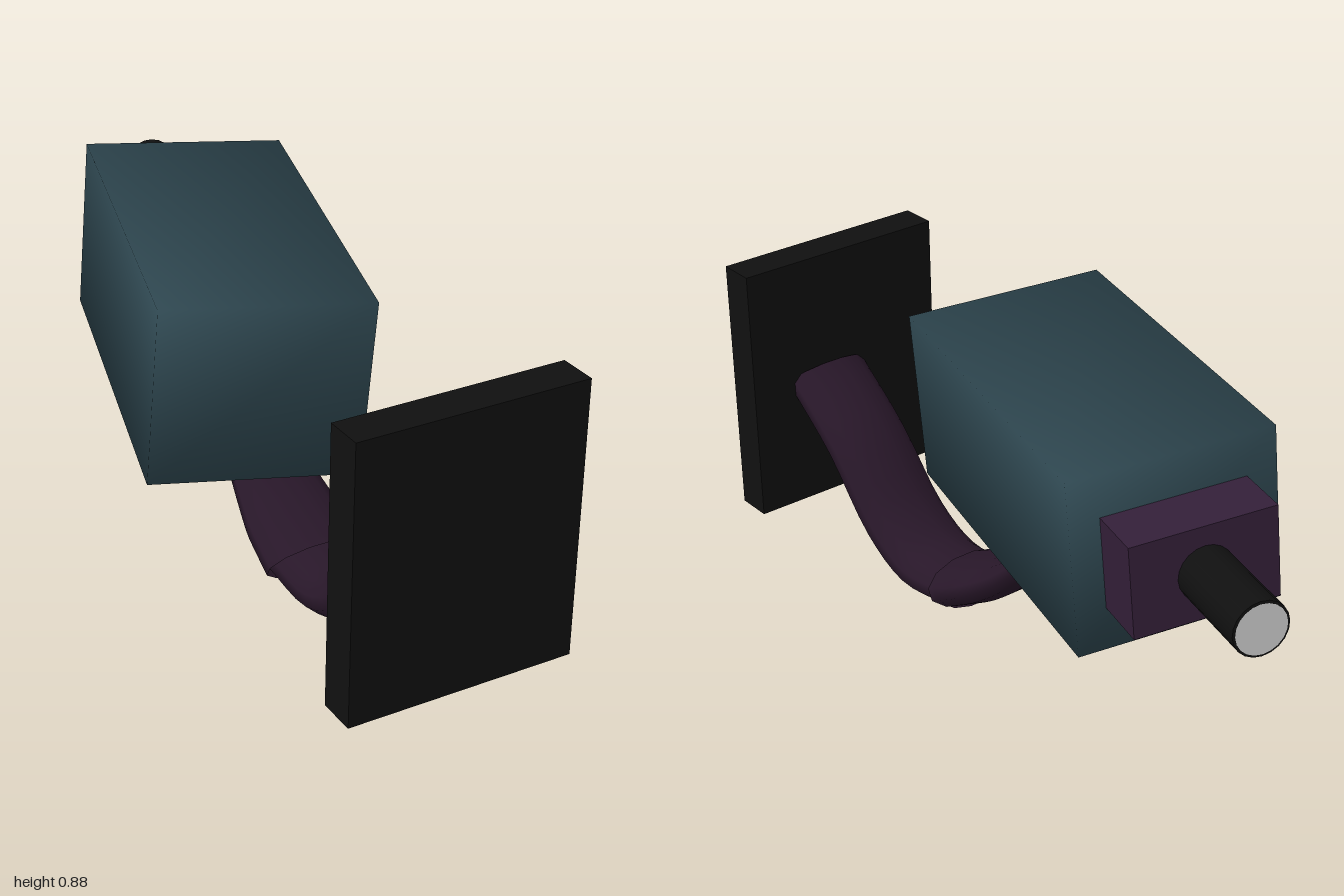
import * as THREE from 'three';
import { mergeVertices } from 'three/addons/utils/BufferGeometryUtils.js';

const mat = (color, side = THREE.FrontSide) => new THREE.MeshStandardMaterial({ color, side });
const black = mat(0x101010);
const purple = mat(0x331f38);
const armPurple = mat(0x281729, THREE.DoubleSide);
const teal = mat(0x2d454e);
const grey = mat(0xcccccc);

function add(parent, name, geometry, material, x = 0, y = 0, z = 0) {
  const mesh = new THREE.Mesh(geometry, material);
  mesh.name = name;
  mesh.position.set(x, y, z);
  parent.add(mesh);
  return mesh;
}

// Tube with an oval section; each station is [x, y, z, halfWidth, halfThickness]
function ovalTube(stations, steps = 16, sides = 12) {
  const path = new THREE.CatmullRomCurve3(stations.map(s => new THREE.Vector3(s[0], s[1], s[2])));
  const across = new THREE.Vector3(1, 0, 0);
  const pos = [], index = [];
  for (let i = 0; i <= steps; i++) {
    const t = i / steps;
    const p = path.getPoint(t);
    const normal = path.getTangent(t).cross(across).normalize();
    const f = t * (stations.length - 1);
    const k = Math.min(Math.floor(f), stations.length - 2);
    const w = THREE.MathUtils.lerp(stations[k][3], stations[k + 1][3], f - k);
    const h = THREE.MathUtils.lerp(stations[k][4], stations[k + 1][4], f - k);
    for (let j = 0; j < sides; j++) {
      const a = (j + 0.5) / sides * Math.PI * 2;
      const v = p.clone().addScaledVector(across, Math.cos(a) * w).addScaledVector(normal, Math.sin(a) * h);
      pos.push(v.x, v.y, v.z);
      if (i < steps) {
        const n = (j + 1) % sides, r = i * sides, q = r + sides;
        index.push(r + j, r + n, q + j, r + n, q + n, q + j);
      }
    }
  }
  const g = new THREE.BufferGeometry();
  g.setAttribute('position', new THREE.Float32BufferAttribute(pos, 3));
  g.setIndex(index);
  g.computeVertexNormals();
  return g;
}

// Box whose corners share normals, for soft shading across the edges
function softBox(w, h, d) {
  let g = new THREE.BoxGeometry(w, h, d);
  g.deleteAttribute('normal');
  g.deleteAttribute('uv');
  g = mergeVertices(g);
  g.computeVertexNormals();
  return g;
}

export function createModel() {
  const model = new THREE.Group();
  model.name = 'securityCamera';

  // Wall plate and the two-piece arm
  add(model, 'wallPlate', new THREE.BoxGeometry(0.6, 0.72, 0.1), black, 0.025, 0.475, 0.95);
  add(model, 'lowerArm', ovalTube([
    [0.08, 0.48, 0.92, 0.12, 0.055],
    [0.075, 0.335, 0.745, 0.12, 0.062],
    [0.065, 0.145, 0.585, 0.122, 0.064],
    [0.058, 0.07, 0.45, 0.124, 0.063],
    [0.055, 0.085, 0.27, 0.124, 0.06],
  ]), armPurple);
  add(model, 'upperArm', ovalTube([
    [0.052, 0.082, 0.31, 0.142, 0.067],
    [0.05, 0.14, 0.2, 0.135, 0.06],
    [0.05, 0.215, 0.09, 0.115, 0.048],
    [0.05, 0.375, -0.08, 0.085, 0.033],
  ]), armPurple);
  add(model, 'swivelDisc', new THREE.CylinderGeometry(0.145, 0.145, 0.08, 24), black, 0.05, 0.395, -0.045);

  // Camera head: turned about y with a slight tilt and roll
  const head = new THREE.Group();
  head.name = 'cameraHead';
  const zAxis = new THREE.Vector3(-0.278, -0.025, 0.96).normalize();
  const yAxis = zAxis.clone().cross(new THREE.Vector3(0.955, -0.067, 0.287)).normalize();
  const xAxis = yAxis.clone().cross(zAxis);
  head.quaternion.setFromRotationMatrix(new THREE.Matrix4().makeBasis(xAxis, yAxis, zAxis));
  head.position.set(0, 0.631, -0.111);
  model.add(head);

  add(head, 'body', softBox(0.525, 0.461, 0.99), teal);
  add(head, 'lensBlock', new THREE.BoxGeometry(0.37, 0.24, 0.165), purple, 0, 0, -0.5625);
  const barrel = new THREE.CylinderGeometry(0.07, 0.07, 0.28, 20).rotateX(-Math.PI / 2);
  add(head, 'lensBarrel', barrel, black, 0, 0, -0.766);
  add(head, 'lensGlass', new THREE.CircleGeometry(0.064, 20).rotateY(Math.PI), grey, 0, 0, -0.908);
  return model;
}
